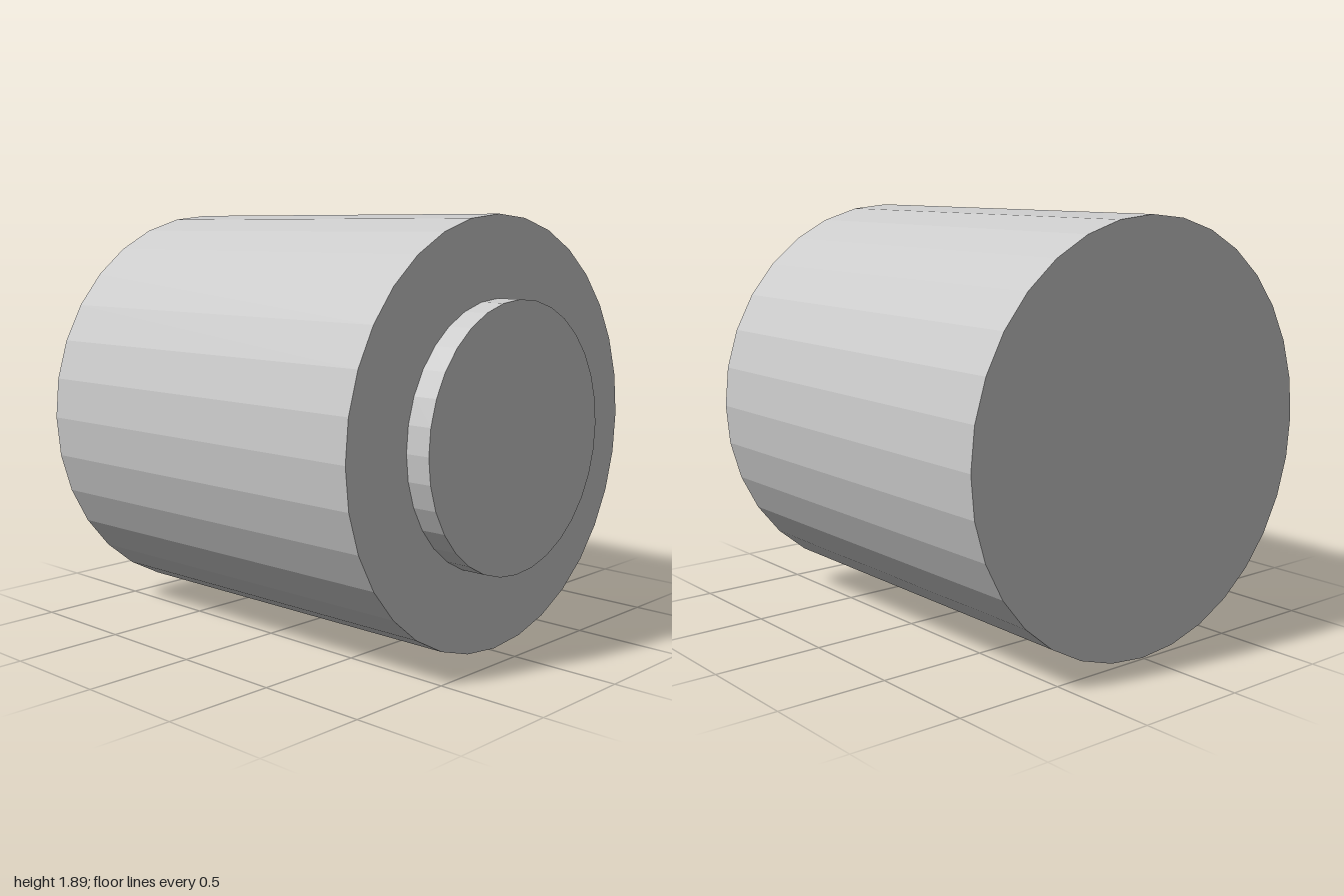
import * as THREE from 'three';

// Faceted 32-sided drum lying along x, spanning x0..x1
function drum(name, radius, x0, x1) {
  const geometry = new THREE.CylinderGeometry(radius, radius, x1 - x0, 32);
  geometry.rotateZ(-Math.PI / 2);
  geometry.translate((x0 + x1) / 2, 0, 0);
  const material = new THREE.MeshStandardMaterial({ color: 0xcccccc, flatShading: true });
  const mesh = new THREE.Mesh(geometry, material);
  mesh.name = name;
  return mesh;
}

export function createModel() {
  const model = new THREE.Group();
  model.name = 'steppedCylinder';

  // Both drums share one axis, tipped very slightly upwards towards +x
  const axis = new THREE.Group();
  axis.name = 'tiltedAxis';
  axis.position.y = 0.945;
  axis.rotation.z = 0.0055;
  axis.add(drum('body', 0.94, -0.995, 0.882)); // main drum
  axis.add(drum('endBoss', 0.588, 0.882, 0.997)); // raised disc on the end
  model.add(axis);
  return model;
}
